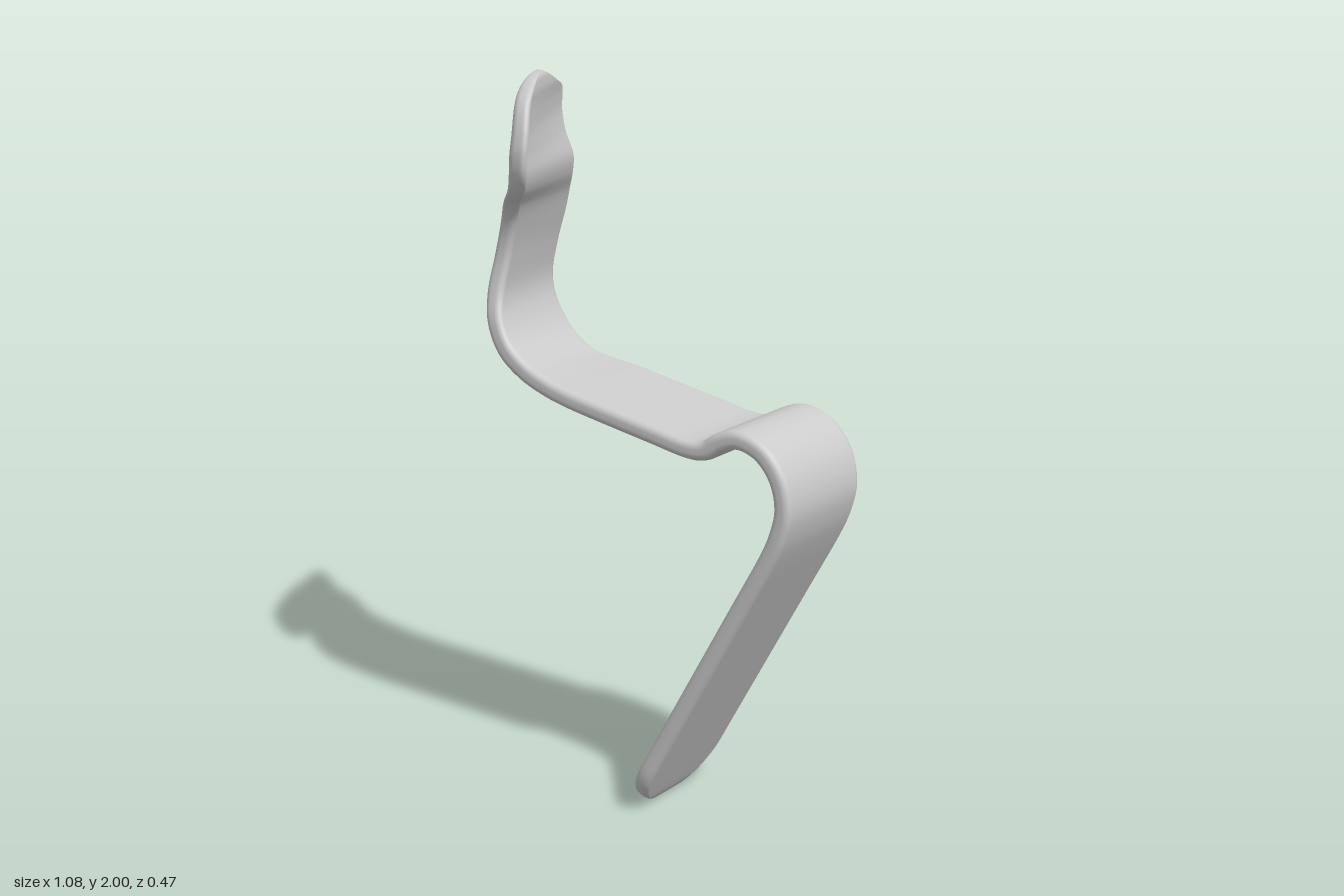
import * as THREE from 'three';

// Stations along the strap: [x, y, back z, front z, thickness, twist]
const leg = [
  [0, 0.03, 0.018], [0.01, 0.07, 0.038], [0.035, 0.115, 0.048], [0.075, 0.152, 0.05], [0.13, 0.173, 0.05],
  [0.24, 0.174, 0.05], [0.48, 0.174, 0.05], [0.74, 0.174, 0.05], [0.93, 0.174, 0.05],
].map(([s, w, t]) => [0.015 + 0.484 * s, 0.008 + 0.878 * s, -w, w, t, 0]);

const bend = [
  [0.5, 0.905], [0.513, 0.975], [0.495, 1.05], [0.445, 1.11], [0.375, 1.134], [0.315, 1.116],
  [0.27, 1.088], [0.21, 1.084], [0.1, 1.103], [-0.07, 1.133], [-0.17, 1.152],
].map(([x, y]) => [x, y, -0.172, 0.174, 0.052, 0]);

const neck = [
  [-0.25, 1.167, -0.172, 0.174, 0.053, 0.04],
  [-0.335, 1.193, -0.172, 0.174, 0.054, 0.1],
  [-0.41, 1.245, -0.172, 0.17, 0.056, 0.13],
  [-0.458, 1.32, -0.172, 0.158, 0.056, 0.16],
  [-0.475, 1.4, -0.172, 0.134, 0.056, 0.18],
  [-0.459, 1.5, -0.172, 0.111, 0.055, 0.15],
  [-0.433, 1.59, -0.171, 0.114, 0.055, 0.13],
  [-0.41, 1.65, -0.171, 0.142, 0.056, 0.18],
  [-0.38, 1.7, -0.171, 0.198, 0.058, 0.3],
];

const fin = [
  [-0.37, 1.75, -0.172, 0.228, 0.06, 0.36],
  [-0.385, 1.81, -0.184, 0.236, 0.06, 0.46],
  [-0.394, 1.86, -0.22, 0.226, 0.058, 0.52],
  [-0.394, 1.9, -0.232, 0.21, 0.056, 0.52],
  [-0.391, 1.93, -0.205, 0.192, 0.054, 0.5],
  [-0.387, 1.955, -0.13, 0.168, 0.052, 0.48],
  [-0.385, 1.975, -0.075, 0.138, 0.046, 0.48],
  [-0.383, 1.99, -0.025, 0.1, 0.036, 0.48],
  [-0.382, 2.0, 0.015, 0.06, 0.018, 0.48],
];

// Rounded rectangle outline, counter-clockwise in (normal, z)
function section(halfT, halfW) {
  const r = Math.min(0.8 * halfT, 0.02, halfW), pts = [];
  [[1, 1], [-1, 1], [-1, -1], [1, -1]].forEach(([sx, sz], q) => {
    for (let k = 0; k <= 5; k++) {
      const a = (q + k / 5) * Math.PI / 2;
      pts.push([sx * (halfT - r) + r * Math.cos(a), sz * (halfW - r) + r * Math.sin(a)]);
    }
  });
  return pts;
}

// Lofts the section along the stations, twisting it toward the fin
function loftStrap(rows, steps) {
  const curve = (a, b, c) => new THREE.CatmullRomCurve3(
    rows.map(r => new THREE.Vector3(r[a], r[b], r[c])), false, 'catmullrom', 0.5);
  const path = curve(0, 1, 5), size = curve(2, 3, 4);
  const pos = [], index = [];
  const n = (rows.length - 1) * steps;
  let ring = 0;
  for (let i = 0; i <= n; i++) {
    const u = i / n;
    const p = path.getPoint(u), s = size.getPoint(u);
    const d = path.getPoint(Math.min(1, u + 0.002)).sub(path.getPoint(Math.max(0, u - 0.002)));
    const normal = new THREE.Vector2(d.y, -d.x).normalize();
    normal.lerp(new THREE.Vector2(1, 0), THREE.MathUtils.smoothstep(p.y, 1.35, 1.55)).normalize();
    const mid = (s.x + s.y) / 2;
    const pts = section(s.z / 2, (s.y - s.x) / 2);
    ring = pts.length;
    for (const [a, b] of pts) {
      const z = mid + b, off = a + p.z * z;
      pos.push(p.x + normal.x * off, p.y + normal.y * off, z);
    }
  }
  for (let i = 0; i < n; i++) {
    for (let j = 0; j < ring; j++) {
      const a = i * ring + j, b = i * ring + (j + 1) % ring;
      index.push(a, a + ring, b + ring, a, b + ring, b);
    }
  }
  // End caps
  const last = n * ring;
  for (let j = 1; j < ring - 1; j++) {
    index.push(0, j, j + 1, last, last + j + 1, last + j);
  }
  const geo = new THREE.BufferGeometry();
  geo.setAttribute('position', new THREE.Float32BufferAttribute(pos, 3));
  geo.setIndex(index);
  geo.computeVertexNormals();
  return geo;
}

export function createModel() {
  const group = new THREE.Group();
  group.name = 'bentHook';
  const material = new THREE.MeshStandardMaterial({ color: 0xcccccc });
  // One continuous strap: leg, bend, shelf, neck and twisted fin
  const strap = new THREE.Mesh(loftStrap([...leg, ...bend, ...neck, ...fin], 6), material);
  strap.name = 'strapWithFin';
  group.add(strap);
  return group;
}
